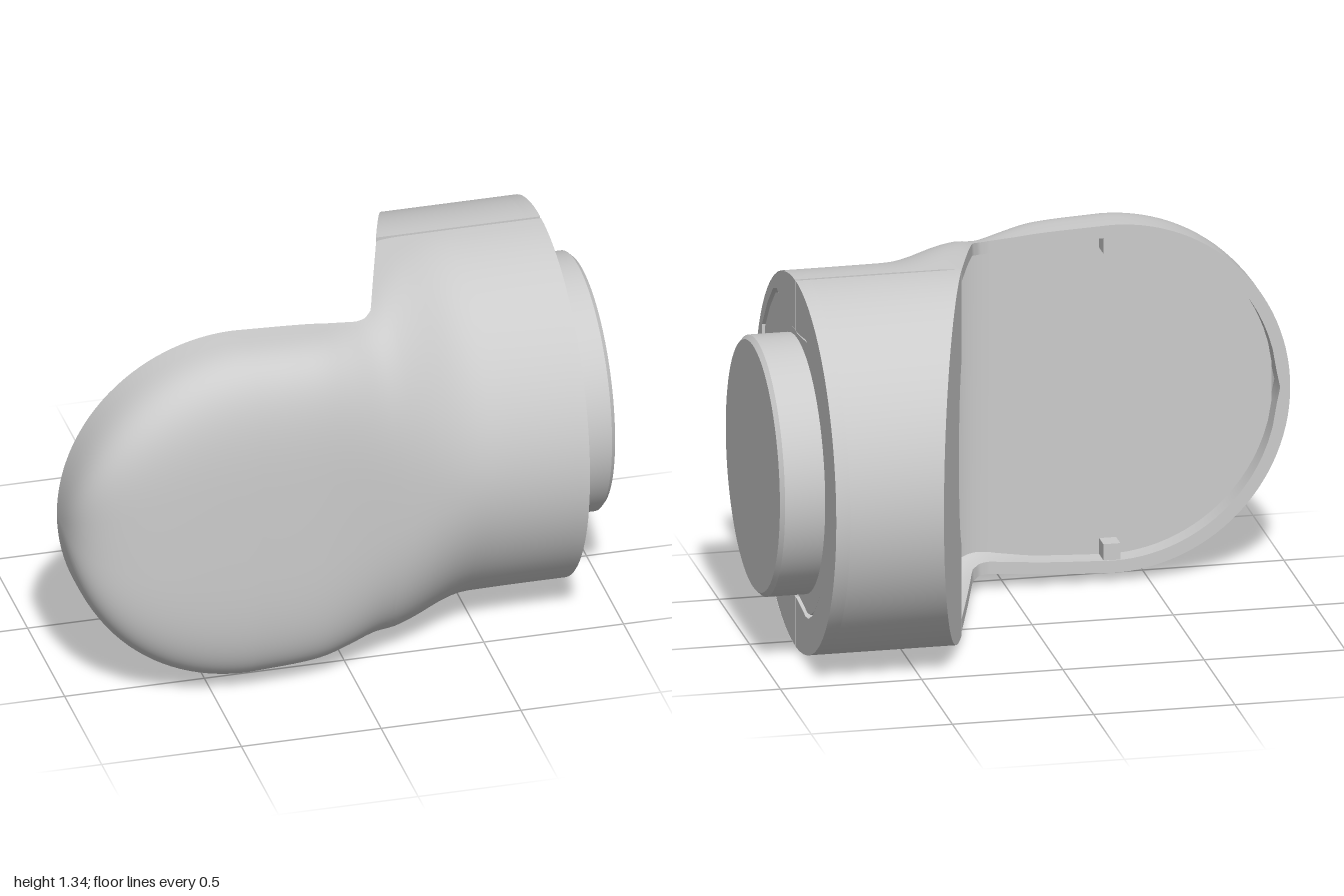
import * as THREE from 'three';
import { toCreasedNormals } from 'three/addons/utils/BufferGeometryUtils.js';

const CY = 0.667, CZ = -0.053, R = 0.667, GAP = 0.006, END = 0.85;
const grey = new THREE.MeshStandardMaterial({ color: 0xcccccc });
const thin = new THREE.MeshStandardMaterial({ color: 0xcccccc, side: THREE.DoubleSide });

function curve(Type, xs, ys) {
  const it = new Type(xs, ys, 1);
  return (x) => it.evaluate(THREE.MathUtils.clamp(x, xs[0], xs[xs.length - 1]))[0];
}

// Controls along x: half height, front depth, rim depth, floor depth
const bodyH = curve(THREE.CubicInterpolant,
  [-0.37, -0.1, 0, 0.1, 0.2, 0.3, 0.4, 0.85],
  [0.635, 0.622, 0.613, 0.614, 0.648, 0.665, R, R]);
const bodyFront = curve(THREE.CubicInterpolant,
  [-0.37, -0.1, 0.2, 0.45, 0.6, 0.85], [0.72, 0.705, 0.657, 0.624, CZ + R, CZ + R]);
const rimZ = curve(THREE.LinearInterpolant,
  [-1, 0.07, 0.105, 0.135, 0.26, 0.85], [0.395, 0.395, 0.383, 0.35, CZ + GAP, CZ + GAP]);
const floorZ = curve(THREE.LinearInterpolant,
  [-1, 0.02, 0.15, 0.247, 0.4, 0.85], [0.47, 0.47, 0.44, 0.31, CZ + GAP, CZ + GAP]);
const slantX = (z) => 0.26 - 0.313 * (z - CZ);

// Outer cross-section at x: widest at depth "axis", cut off at depth "rim"
function section(x) {
  const u = Math.min(1, Math.max(0, (-0.37 - x) / 0.63));
  const ui = Math.min(1, u * 0.63 / 0.585);
  const rim = rimZ(x);
  const axis = THREE.MathUtils.lerp(0.395, CZ + GAP, THREE.MathUtils.smoothstep(x, -0.15, 0.5));
  const h = bodyH(x) * Math.sqrt(1 - u * u);
  const depth = (bodyFront(x) - axis) * Math.pow(1 - u ** 3.5, 1 / 3.5);
  const n = 4 - 2 * THREE.MathUtils.smoothstep(x, -0.25, 0.5);
  const innerH = Math.min(h, (bodyH(x) - 0.045) * Math.sqrt(1 - ui * ui));
  const innerY = (z) => {
    const f = THREE.MathUtils.clamp((z - axis) / Math.max(depth, 1e-4), 0, 1);
    return innerH * Math.pow(1 - f ** n, 1 / n);
  };
  return { rim, axis, h, depth, n, innerY };
}

// Surface through rows of equal length
function loft(rows, crease) {
  const pos = rows.flat(2), w = rows[0].length, idx = [];
  for (let i = 0; i < rows.length - 1; i++) {
    for (let j = 0; j < w - 1; j++) {
      const a = i * w + j, b = a + w;
      idx.push(a, b, a + 1, b, b + 1, a + 1);
    }
  }
  const g = new THREE.BufferGeometry();
  g.setAttribute('position', new THREE.Float32BufferAttribute(pos, 3));
  g.setIndex(idx);
  return toCreasedNormals(g, crease);
}

// Front shell: outer skin, rim lip and inner wall
function shellGeometry() {
  const xs = [];
  for (let i = 0; i <= 28; i++) xs.push(-0.37 - 0.63 * Math.cos(i / 28 * Math.PI / 2));
  for (let i = 1; i <= 18; i++) xs.push(-0.37 + 0.42 * i / 18);
  for (let i = 1; i <= 30; i++) xs.push(0.05 + 0.25 * i / 30);
  for (let i = 1; i <= 14; i++) xs.push(0.3 + (END - 0.3) * i / 14);
  return loft(xs.map((x) => {
    const s = section(x), row = [], wall = [], e = 2 / s.n;
    const deep = Math.max(s.rim, Math.min(floorZ(x) + 0.02, s.axis + s.depth));
    for (let k = 0; k <= 3; k++) {
      const z = s.rim + (deep - s.rim) * k / 3;
      wall.push([z, s.innerY(z)]);
    }
    const cut = s.depth > 1e-4 ? THREE.MathUtils.clamp((s.rim - s.axis) / s.depth, 0, 1) : 0;
    const tMax = Math.acos(cut ** (1 / e));
    const skin = [];
    for (let k = 0; k <= 48; k++) {
      const t = tMax * (k / 24 - 1), v = Math.sin(t);
      const c = Math.max(0, Math.cos(t));
      skin.push([x, CY + s.h * Math.sign(v) * Math.abs(v) ** e, s.axis + s.depth * c ** e]);
    }
    for (const [z, y] of [...wall].reverse()) row.push([x, CY - y, z]);
    row.push([x, skin[0][1], s.rim], ...skin, [x, skin[48][1], s.rim]);
    for (const [z, y] of wall) row.push([x, CY + y, z]);
    return row;
  }), 0.7);
}

// Recessed floor that curves up into the slanted wall
function floorGeometry() {
  const path = [];
  for (let i = 0; i <= 20; i++) path.push([-0.37 - 0.58 * Math.cos(i / 20 * Math.PI / 2), 0.47]);
  path.push([-0.2, 0.47]);
  const bend = new THREE.QuadraticBezierCurve(
    new THREE.Vector2(0.02, 0.47), new THREE.Vector2(0.197, 0.47), new THREE.Vector2(slantX(0.31) + 0.1, 0.31));
  for (const p of bend.getPoints(14)) path.push([p.x, p.y]);
  return loft(path.map(([x, z]) => {
    const w = section(x).innerY(z) + 0.008;
    return [[x, CY - w, z], [x, CY, z], [x, CY + w, z]];
  }), 0.6);
}

// Extrude a (-z, y) outline along x, from a start rule to a flat end
function extrudeX(points, startX, endX) {
  const shape = new THREE.Shape(points.map(([a, y]) => new THREE.Vector2(a, y)));
  const g = new THREE.ExtrudeGeometry(shape, { depth: 1, bevelEnabled: false });
  const p = g.attributes.position;
  for (let i = 0; i < p.count; i++) {
    const z = CZ - p.getX(i), x0 = startX(z);
    p.setXYZ(i, x0 + (endX - x0) * p.getZ(i), CY + p.getY(i), z);
  }
  return toCreasedNormals(g, 0.5);
}

// Half disc on one side of the seam, cut flat at a limit, less a mirrored bite
function halfDisc(side, radius, limit, bite) {
  const pts = [];
  const t0 = Math.acos(GAP / radius), t1 = Math.acos(Math.min(1, limit / radius));
  for (let i = 0; i <= 32; i++) {
    const t = t0 + (t1 - t0) * i / 32;
    pts.push([side * radius * Math.cos(t), radius * Math.sin(t)]);
  }
  const lower = pts.map(([a, y]) => [a, -y]);
  const upper = pts.reverse().slice(limit < radius ? 0 : 1);
  return [...lower, ...upper, ...bite, ...[...bite].reverse().map(([a, y]) => [a, -y])];
}

// Upper quarter of the oval opening, from the seam outwards; wider in front
function ovalBite(side) {
  const pts = [], middle = -0.04, width = side > 0 ? 0.15 : 0.31;
  const t1 = side > 0 ? 0.02 : Math.PI - 0.02;
  const t0 = Math.acos((side * GAP - middle) / (side > 0 ? 0.15 : 0.31));
  for (let i = 0; i <= 18; i++) {
    const t = t0 + (t1 - t0) * i / 18;
    pts.push([middle + width * Math.cos(t), 0.358 * Math.sin(t)]);
  }
  return pts;
}

// Upper outline of the end panel on each side of the seam
const panelEdge = {
  1: [[GAP, 0.485], [0.08, 0.492], [0.17, 0.505], [0.22, 0.497], [0.28, 0.465], [0.4, 0.36],
    [0.48, 0.26], [0.5, 0.215], [0.505, 0.16]],
  [-1]: [[-GAP, 0.485], [-0.08, 0.485], [-0.16, 0.5], [-0.3, 0.54], [-0.36, 0.52], [-0.45, 0.44],
    [-0.54, 0.33], [-0.54, 0.16], [-0.61, 0.155], [-0.625, 0.1]],
};

export function createModel() {
  const model = new THREE.Group();
  const add = (name, geometry, material = grey) => {
    const m = new THREE.Mesh(geometry, material);
    m.name = name;
    model.add(m);
    return m;
  };

  add('frontShell', shellGeometry(), thin);
  add('recessedFloor', floorGeometry(), thin);

  // Collar: rear half with the slanted face, and the recessed wall in front
  add('rearCollar', extrudeX(halfDisc(1, R, R, ovalBite(1)), slantX, 0.8));
  add('innerWall', extrudeX(halfDisc(-1, 0.652, 0.363, ovalBite(-1)), (z) => slantX(z) + 0.1, 0.8));

  // End face: two half rings around a grooved panel
  for (const side of [1, -1]) {
    const radius = side > 0 ? R : R - 0.001;
    add(side > 0 ? 'rearEndRing' : 'frontEndRing',
      extrudeX(halfDisc(side, radius, radius, panelEdge[side]), () => 0.8, END));
  }
  const top = [...[...panelEdge[-1]].reverse(), ...panelEdge[1]];
  const outline = [...top, ...[...top].reverse().map(([a, y]) => [a, -y])];
  add('endPanel', extrudeX(outline.map(([a, y]) => [a * 0.975, y * 0.975]), () => 0.78, 0.843));

  // Round plug with a chamfered edge
  const plug = add('plug', toCreasedNormals(new THREE.LatheGeometry(
    [[0, 0.79], [0.455, 0.79], [0.455, 0.985], [0.44, 1], [0, 1]].map(([r, y]) => new THREE.Vector2(r, y)), 72), 0.5));
  plug.rotation.z = -Math.PI / 2;
  plug.position.set(0, CY, CZ);

  // Small clips inside the rim
  for (const s of [1, -1]) {
    const clip = add('rimClip', new THREE.BoxGeometry(0.06, 0.06, 0.07));
    clip.position.set(-0.37, CY + s * 0.56, 0.436);
  }
  return model;
}
